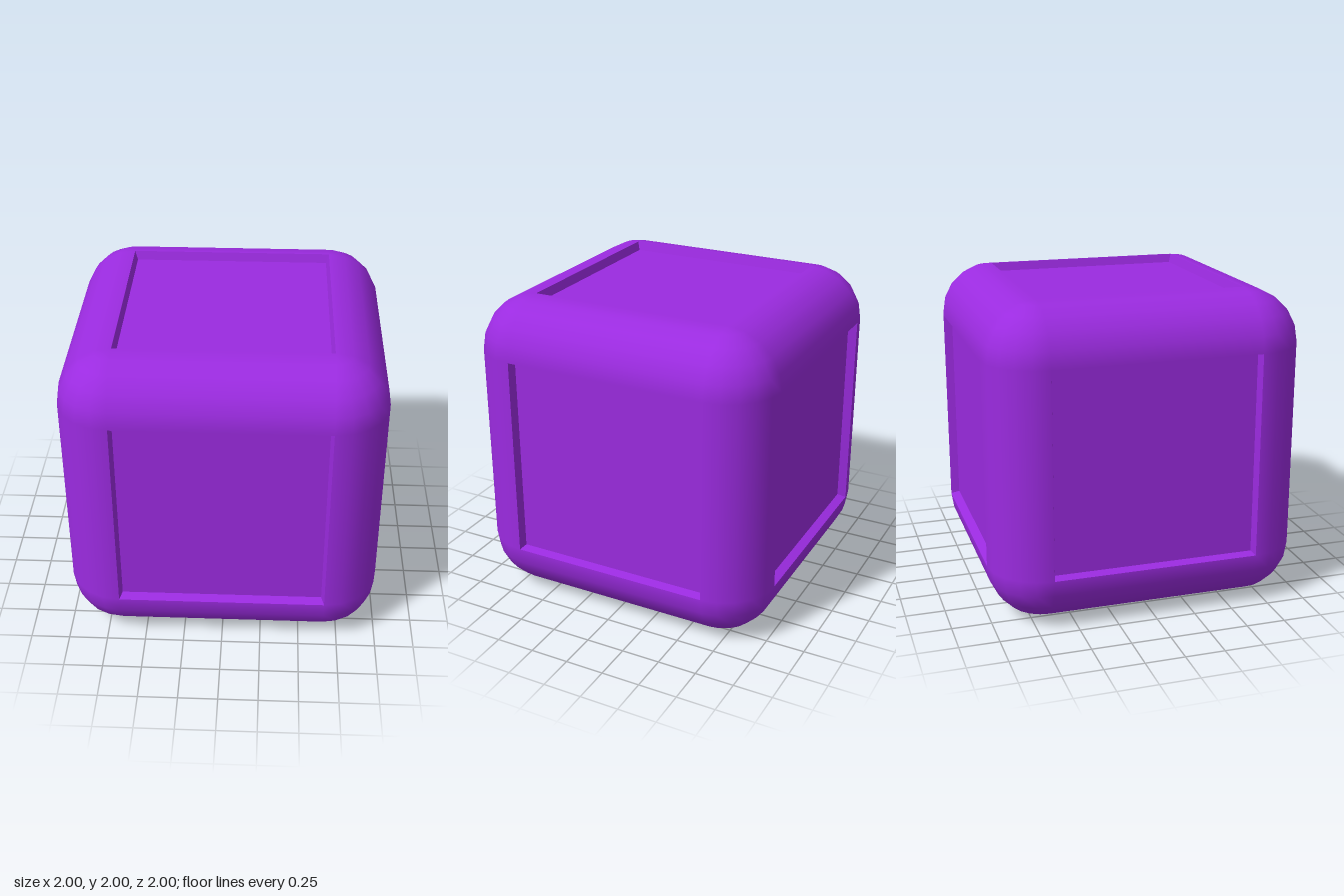
import * as THREE from 'three';
import { mergeGeometries } from 'three/addons/utils/BufferGeometryUtils.js';

const RADIUS = 0.345;        // edge rounding
const FLAT = 1 - RADIUS;     // half width of each flat face
const STEPS = 5;             // segments per rounded quarter
const QUARTER = Math.PI / 2;

// Rounded shell: 12 edges, 8 corners and the plain underside
function roundedShell() {
  const parts = [];
  const edge = new THREE.CylinderGeometry(RADIUS, RADIUS, 2 * FLAT, STEPS, 1, true, 0, QUARTER)
    .translate(FLAT, 0, FLAT);
  const corner = new THREE.SphereGeometry(RADIUS, STEPS, STEPS, QUARTER, QUARTER, 0, QUARTER)
    .translate(FLAT, FLAT, FLAT);
  for (let i = 0; i < 4; i++) {
    const turnedEdge = edge.clone().rotateY(i * QUARTER);
    const turnedCorner = corner.clone().rotateY(i * QUARTER);
    parts.push(turnedEdge, turnedEdge.clone().rotateZ(QUARTER), turnedEdge.clone().rotateX(QUARTER));
    parts.push(turnedCorner, turnedCorner.clone().rotateX(Math.PI));
  }
  parts.push(new THREE.PlaneGeometry(2 * FLAT, 2 * FLAT).rotateX(QUARTER).translate(0, -1, 0));
  return mergeGeometries(parts);
}

// Square recess with sloping walls, opening upward at y = 1
function recess(depth, inset) {
  const inner = FLAT - inset;
  const walls = new THREE.CylinderGeometry(FLAT * Math.SQRT2, inner * Math.SQRT2, depth, 4, 1, true)
    .rotateY(Math.PI / 4).translate(0, 1 - depth / 2, 0);
  const floor = new THREE.PlaneGeometry(2 * inner, 2 * inner)
    .rotateX(-QUARTER).translate(0, 1 - depth, 0);
  return mergeGeometries([walls, floor]);
}

export function createModel() {
  const model = new THREE.Group();
  model.name = 'roundedCube';
  const color = 0x9b2be0;
  const smooth = new THREE.MeshStandardMaterial({ color });
  const flat = new THREE.MeshStandardMaterial({ color, flatShading: true, side: THREE.DoubleSide });

  const add = (name, geometry, material) => {
    const mesh = new THREE.Mesh(geometry, material);
    mesh.name = name;
    mesh.position.y = 1;
    model.add(mesh);
  };

  add('roundedShell', roundedShell(), smooth);

  // Recessed panels on the top and the four sides
  add('topPanel', recess(0.055, 0.018), flat);
  ['front', 'left', 'back', 'right'].forEach((side, i) => {
    const inset = i % 2 ? 0.014 : 0.018;
    add(side + 'Panel', recess(0.055, inset).rotateX(QUARTER).rotateY(i * QUARTER), flat);
  });
  return model;
}
